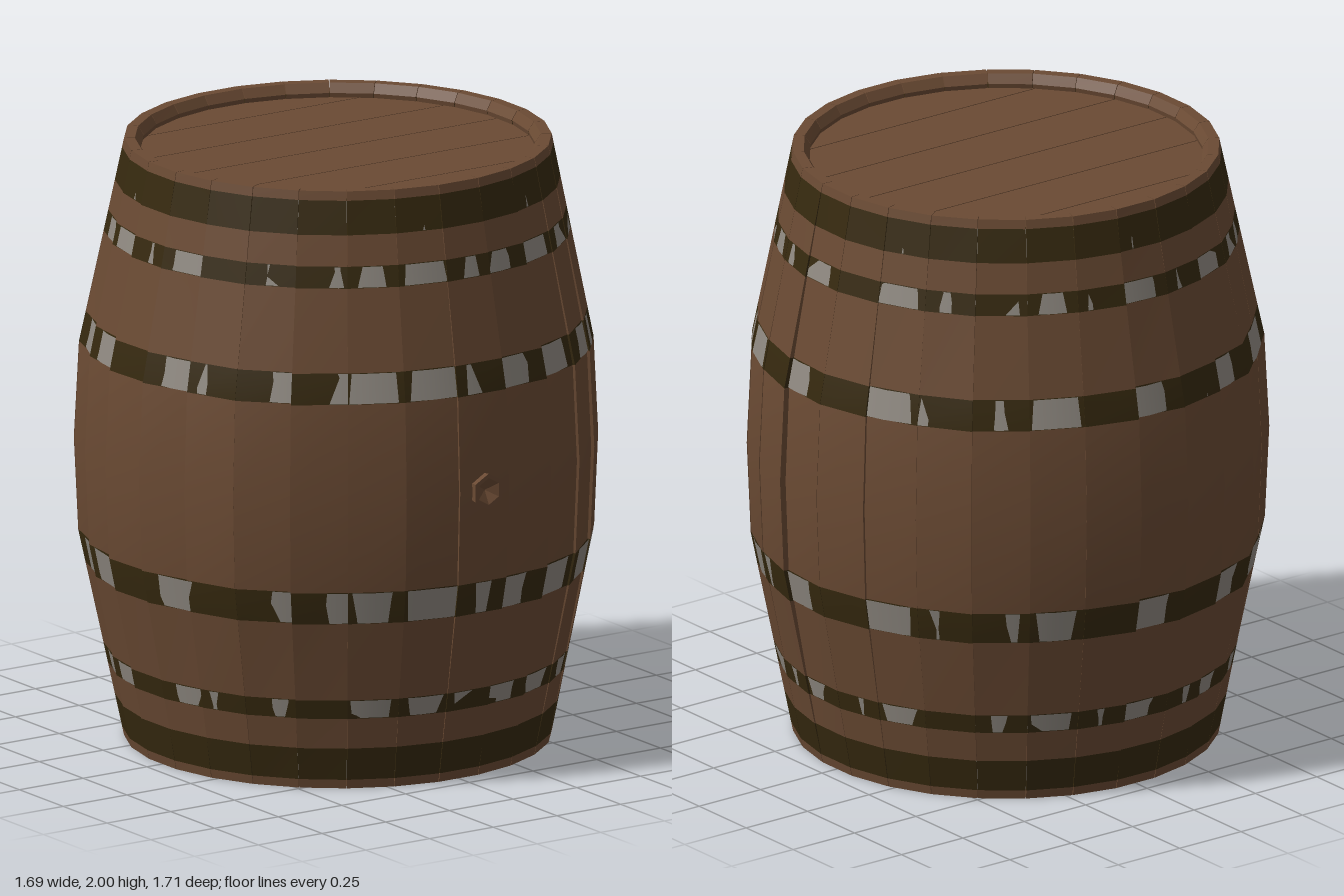
import * as THREE from 'three';
import { toCreasedNormals } from 'three/addons/utils/BufferGeometryUtils.js';

const material = (name, color, side = THREE.FrontSide) => {
  const m = new THREE.MeshStandardMaterial({ color, side });
  m.name = name;
  return m;
};

// Small seeded random in -1..1
let seed = 11;
const jitter = () => {
  seed = (seed * 16807) % 2147483647;
  return (seed / 2147483647) * 2 - 1;
};

const STAVES = 28;
const HOOPS = [[0.03, 0.14], [0.245, 0.31], [0.58, 0.69], [1.32, 1.42], [1.69, 1.76], [1.86, 1.97]];
const LEVELS = [0, ...HOOPS.flat(), 1, 2].sort((a, b) => a - b);
const isHoop = (y0, y1) => HOOPS.some(([a, b]) => y0 >= a && y1 <= b);

// Barrel radius at height y, widest in the middle
function radius(y) {
  const h = Math.min(y, 2 - y);
  return h < 0.69 ? 0.688 + (0.137 * h) / 0.69 : 0.825 + (0.013 * (h - 0.69)) / 0.31;
}

// One stave facing +z: four-cornered sections stacked upward, twisted most at the belly
function staveGeometry(tilt, push) {
  const sections = LEVELS.map((y) => {
    const r = radius(y);
    const belly = (r - 0.688) / 0.15;
    const w = r * Math.tan(Math.PI / STAVES) * (0.985 + 0.03 * belly);
    const t = y === 0 || y === 2 ? 0.035 : 0.06;
    const c = Math.cos(tilt * belly), s = Math.sin(tilt * belly);
    const wi = w * (1 - t / r);
    return [[-w, 0], [w, 0], [wi, -t], [-wi, -t]].map(([x, z]) =>
      [x * c + z * s, y, r + push * belly - x * s + z * c]);
  });
  const wood = [], band = [];
  const quad = (out, a, b, c, d) => out.push(...a, ...b, ...c, ...a, ...c, ...d);
  for (let i = 0; i < LEVELS.length - 1; i++) {
    const lo = sections[i], hi = sections[i + 1];
    const hoop = isHoop(LEVELS[i], LEVELS[i + 1]);
    for (let k = 0; k < 4; k++) {
      const n = (k + 1) % 4;
      quad(hoop && k !== 2 ? band : wood, lo[k], lo[n], hi[n], hi[k]);
    }
  }
  const bottom = sections[0], top = sections[sections.length - 1];
  quad(wood, bottom[3], bottom[2], bottom[1], bottom[0]);
  quad(wood, ...top);
  const geometry = new THREE.BufferGeometry();
  geometry.setAttribute('position', new THREE.Float32BufferAttribute([...wood, ...band], 3));
  geometry.addGroup(0, wood.length / 3, 0);
  geometry.addGroup(wood.length / 3, band.length / 3, 1);
  return toCreasedNormals(geometry, 0.3);
}

// Plank of a round head, between two z positions
function plankGeometry(z0, z1, r) {
  const side = [];
  for (let i = 0; i <= 12; i++) {
    const z = z0 + ((z1 - z0) * i) / 12;
    side.push([Math.sqrt(Math.max(0, r * r - z * z)), z]);
  }
  const points = [...side, ...side.map(([x, z]) => [-x, z]).reverse()];
  const shape = new THREE.Shape(points.map(([x, z]) => new THREE.Vector2(x, -z)));
  return new THREE.ExtrudeGeometry(shape, { depth: 0.03, bevelEnabled: false }).rotateX(-Math.PI / 2);
}

export function createModel() {
  const model = new THREE.Group();
  model.name = 'barrel';
  const wood = material('wood', 0x6a4a33);
  const darkIron = material('darkIron', 0x36290f);
  const bareMetal = material('bareMetal', 0x8f8981, THREE.DoubleSide);

  const add = (parent, name, geometry, mat) => {
    const mesh = new THREE.Mesh(geometry, mat);
    mesh.name = name;
    parent.add(mesh);
    return mesh;
  };
  const group = (name) => {
    const g = new THREE.Group();
    g.name = name;
    model.add(g);
    return g;
  };

  // Uneven staves with the dark hoop bands on them
  const staves = group('staves');
  for (let i = 0; i < STAVES; i++) {
    const straight = i === 0;
    const tilt = straight ? 0 : jitter() * 0.13;
    const push = straight ? 0 : jitter() * 0.006;
    const stave = add(staves, 'stave', staveGeometry(tilt, push), [wood, darkIron]);
    stave.rotation.y = (i / STAVES) * Math.PI * 2;
  }

  // Bare metal rings that show through where a stave sinks in
  const hoops = group('hoops');
  HOOPS.forEach(([y0, y1], i) => {
    const inset = i === 0 || i === 5 ? -0.001 : 0.002;
    const ring = add(hoops, 'hoop', new THREE.CylinderGeometry(
      radius(y1) + inset, radius(y0) + inset, y1 - y0 - 0.004, 40, 1, true), bareMetal);
    ring.position.y = (y0 + y1) / 2;
    ring.rotation.y = i * 0.4;
  });

  // Planked heads, set in from both rims
  const R = 0.645;
  const cuts = [-R, -0.485, -0.25, -0.02, 0.213, 0.447, R];
  for (const [name, y] of [['topHead', 1.925], ['bottomHead', 0.045]]) {
    const head = group(name);
    head.position.y = y;
    for (let i = 0; i < cuts.length - 1; i++) {
      add(head, 'headPlank', plankGeometry(cuts[i] + 0.002, cuts[i + 1] - 0.002, R), wood);
    }
  }

  // Hollow bung on the front
  const bungProfile = [[0.05, -0.03], [0.06, 0.03], [0.045, 0.03], [0, 0.005]]
    .map(([x, y]) => new THREE.Vector2(x, y));
  const bungGeometry = new THREE.LatheGeometry(bungProfile, 6).rotateX(Math.PI / 2);
  const bung = add(model, 'bung', toCreasedNormals(bungGeometry, 0.1), wood);
  bung.position.set(0, 1, 0.832);

  return model;
}
